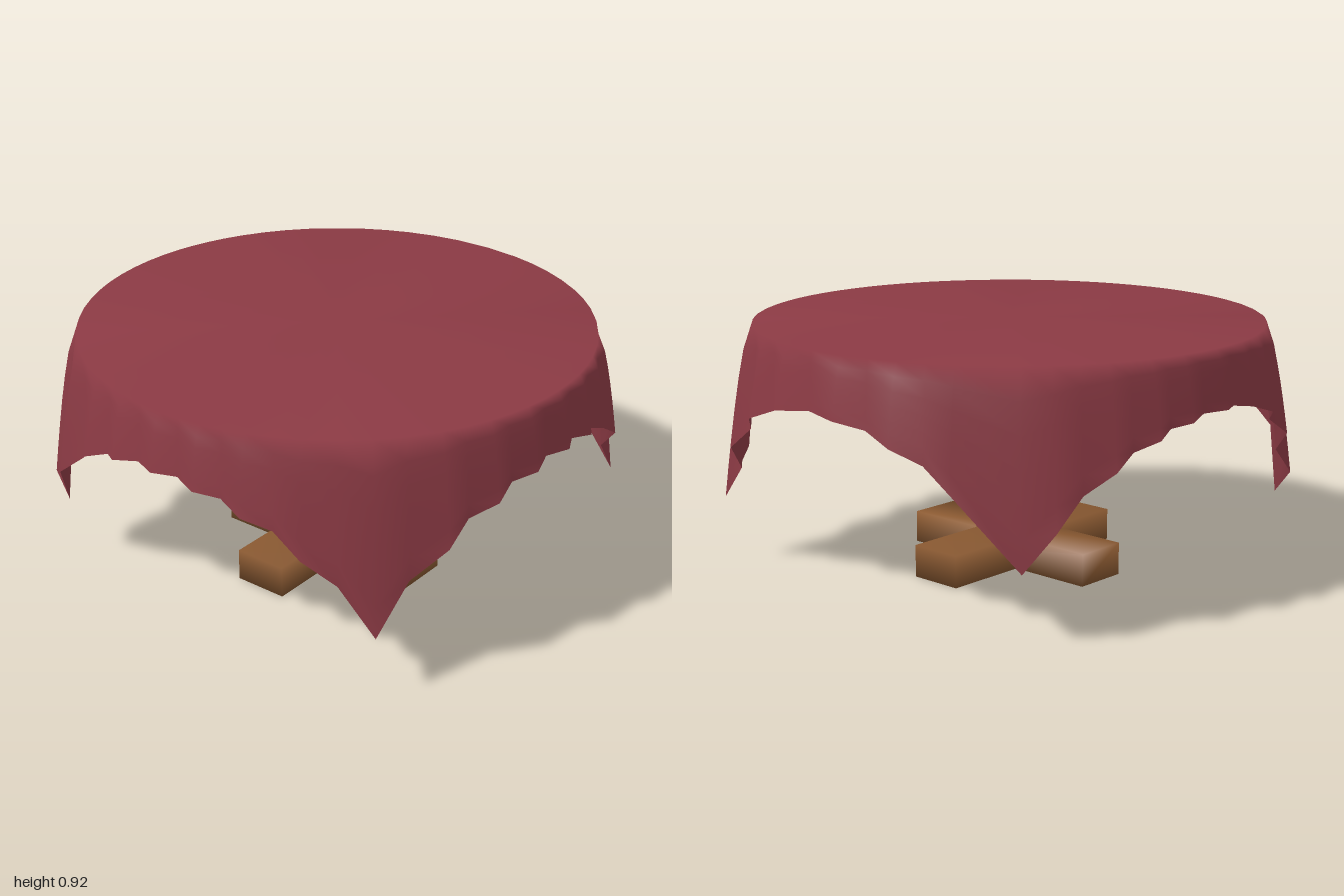
import * as THREE from 'three';
import { mergeVertices } from 'three/addons/utils/BufferGeometryUtils.js';

const TOP = 0.92, RIM = 0.935, HALF = 1.135; // cloth height, table rim, half side of the square cloth
const rad = THREE.MathUtils.degToRad;

// Outward pleats of the skirt, in degrees from +x towards +z
const PLEATS = [
  0, 10, 20, 31, 45, 58.5, 70, 80,
  90, 101, 111, 126, 138.5, 149, 161, 170,
  180, 190, 198, 207.5, 219, 238, 250, 263,
  280, 291, 304, 315, 329, 341, 350.5,
];

// Square cloth lying on a round top: flat disc plus a pleated skirt with four hanging corners
function clothGeometry(rows = 6) {
  const columns = [];
  PLEATS.forEach((a, i) => {
    const next = i + 1 < PLEATS.length ? PLEATS[i + 1] : 360;
    let valley = (a + next) / 2;
    const corner = Math.floor(valley / 90) * 90 + 45;
    if (Math.abs(valley - corner) < 3.6) valley = corner; // keep the cloth corner pointed
    columns.push({ angle: rad(a), out: true }, { angle: rad(valley), out: false });
  });

  const n = columns.length, positions = [0, TOP, 0], index = [];
  for (let j = 0; j <= rows; j++) {
    for (const { angle, out } of columns) {
      const c = Math.cos(angle), s = Math.sin(angle);
      const hang = HALF / Math.max(Math.abs(c), Math.abs(s)) - RIM;
      const drop = hang * j / rows;
      const r = RIM + (out ? 0.16 * Math.pow(drop, 0.65) : 0.1 * drop);
      positions.push(r * c, TOP - drop, r * s);
    }
  }
  for (let i = 0; i < n; i++) {
    const k = (i + 1) % n;
    index.push(0, 1 + k, 1 + i);
    for (let j = 0; j < rows; j++) {
      const a = 1 + j * n + i, b = 1 + j * n + k;
      index.push(a, b, a + n, b, b + n, a + n);
    }
  }
  const geometry = new THREE.BufferGeometry();
  geometry.setAttribute('position', new THREE.Float32BufferAttribute(positions, 3));
  geometry.setIndex(index);
  geometry.computeVertexNormals();
  return geometry;
}

// Box with normals blended over its edges, for softly shaded timber
function softBox(w, h, d) {
  const box = new THREE.BoxGeometry(w, h, d);
  box.deleteAttribute('normal');
  box.deleteAttribute('uv');
  const merged = mergeVertices(box);
  merged.computeVertexNormals();
  return merged;
}

export function createModel() {
  const group = new THREE.Group();
  const wood = new THREE.MeshStandardMaterial({ color: 0x8b5a32 });
  const fabric = new THREE.MeshStandardMaterial({ color: 0x8b3a44, side: THREE.DoubleSide });

  const add = (name, geometry, material, x, y, z) => {
    const mesh = new THREE.Mesh(geometry, material);
    mesh.name = name;
    mesh.position.set(x, y, z);
    group.add(mesh);
  };

  // Cloth and the board under it
  add('tablecloth', clothGeometry(), fabric, 0, 0, 0);
  add('tabletop', new THREE.CylinderGeometry(0.92, 0.92, 0.06, 48), wood, 0, 0.88, 0);

  // Square post on two crossed feet
  const px = -0.012, pz = 0.017;
  add('post', softBox(0.205, 0.75, 0.205), wood, px, 0.485, pz);
  add('footAcross', softBox(0.845, 0.12, 0.205), wood, px, 0.06, pz);
  add('footAlong', softBox(0.205, 0.12, 0.845), wood, px, 0.06, pz);

  return group;
}
